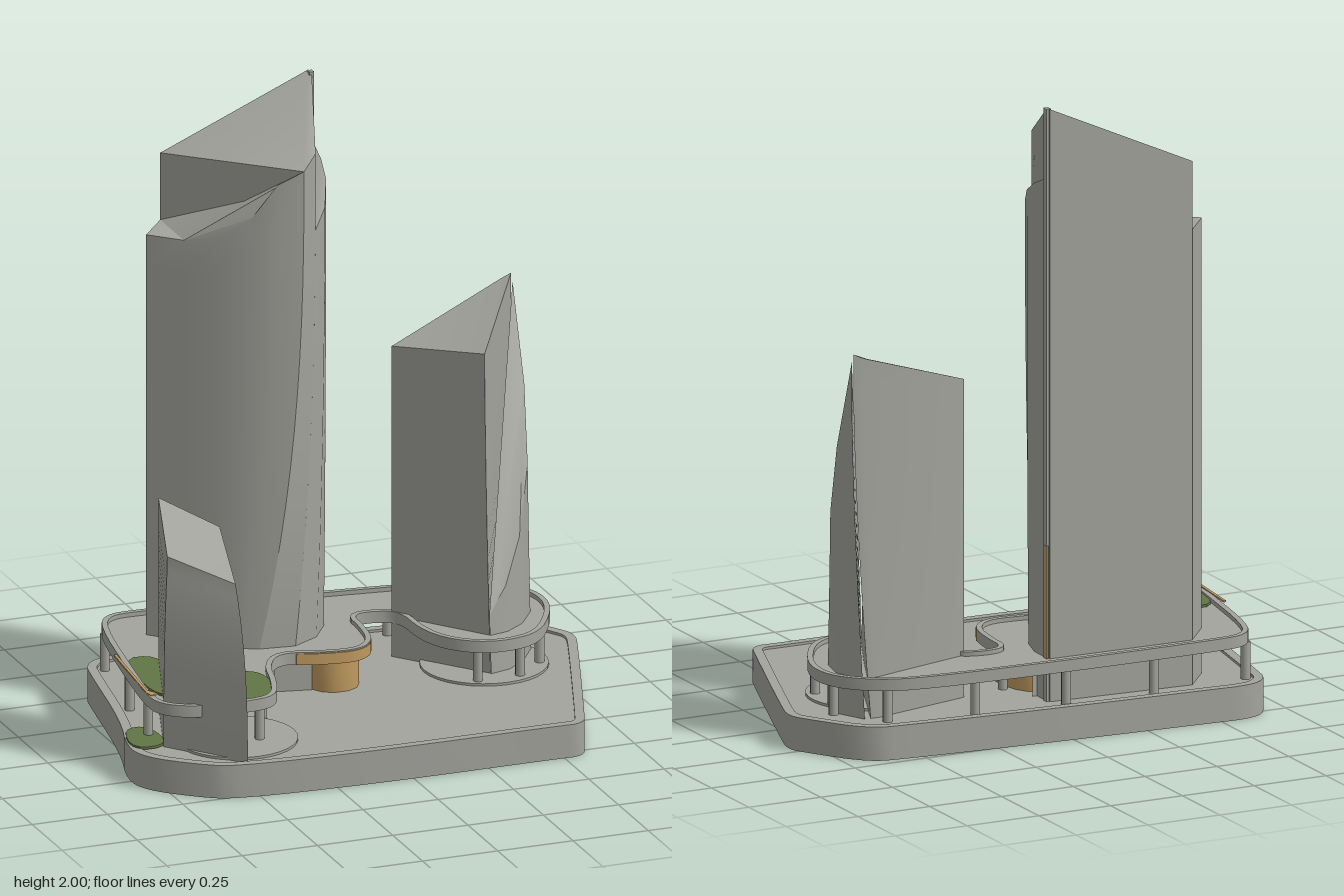
import * as THREE from 'three';
import { toCreasedNormals } from 'three/addons/utils/BufferGeometryUtils.js';

const paint = (name, color) => {
  const m = new THREE.MeshStandardMaterial({ color });
  m.name = name;
  return m;
};

// counter-clockwise plan outline, seen from above
const ccw = (p) => {
  const area = p.reduce((s, a, i) => {
    const b = p[(i + 1) % p.length];
    return s + a[0] * b[1] - b[0] * a[1];
  }, 0);
  return area > 0 ? [...p].reverse() : [...p];
};

// corner-cutting to round an outline
function soften(p, passes = 2) {
  for (let k = 0; k < passes; k++) {
    p = p.flatMap((a, i) => {
      const b = p[(i + 1) % p.length];
      return [0.25, 0.75].map((t) => [a[0] + (b[0] - a[0]) * t, a[1] + (b[1] - a[1]) * t]);
    });
  }
  return p;
}

// outline moved inward by d
function inset(pts, d) {
  const p = ccw(pts), n = p.length;
  return p.map((a, i) => {
    const b = p[(i + 1) % n], c = p[(i + n - 1) % n];
    const tx = b[0] - c[0], tz = b[1] - c[1], l = Math.hypot(tx, tz) || 1;
    return [a[0] + (tz / l) * d, a[1] - (tx / l) * d];
  });
}

// horizontal plate from a plan outline, with an optional hole
function plate(outline, y0, y1, hole) {
  const v = (p) => p.map(([x, z]) => new THREE.Vector2(x, -z));
  const shape = new THREE.Shape(v(outline));
  if (hole) shape.holes.push(new THREE.Path(v(hole)));
  const g = new THREE.ExtrudeGeometry(shape, { depth: y1 - y0, bevelEnabled: false });
  g.rotateX(-Math.PI / 2).translate(0, y0, 0);
  return toCreasedNormals(g, 0.6);
}

// tower volume: each corner is [bottom x, bottom z, top x, top z, top y];
// corners sweep from bottom to top position over height H, paced by ease
function tower(corners, H, ease) {
  const c = ccw(corners), n = c.length, y0 = 0.1, levels = 14, pos = [], idx = [];
  for (let j = 0; j <= levels; j++) {
    for (const [bx, bz, tx, tz, ty] of c) {
      const y = y0 + (ty - y0) * (j / levels);
      const f = ease(Math.min(1, (y - y0) / (H - y0)));
      pos.push(bx + (tx - bx) * f, y, bz + (tz - bz) * f);
    }
  }
  for (let j = 0; j < levels; j++) {
    for (let i = 0; i < n; i++) {
      const a = j * n + i, b = j * n + (i + 1) % n;
      idx.push(a, b, b + n, a, b + n, a + n);
    }
  }
  const top = levels * n;
  const plan = c.map((_, i) => new THREE.Vector2(pos[(top + i) * 3], -pos[(top + i) * 3 + 2]));
  for (const [a, b, d] of THREE.ShapeUtils.triangulateShape(plan, [])) idx.push(top + a, top + b, top + d);
  const g = new THREE.BufferGeometry();
  g.setAttribute('position', new THREE.Float32BufferAttribute(pos, 3));
  g.setIndex(idx);
  return toCreasedNormals(g, 0.5);
}

export function createModel() {
  const grey = paint('concrete grey', 0xa3a49d);
  const green = paint('planting green', 0x617645);
  const tan = paint('lobby tan', 0xc09a5f);
  const root = new THREE.Group();
  const add = (name, geo, mat = grey, parent = root) => {
    const m = new THREE.Mesh(geo, mat);
    m.name = name;
    parent.add(m);
    return m;
  };
  const group = (name) => {
    const g = new THREE.Group();
    g.name = name;
    root.add(g);
    return g;
  };

  // base slab with a low kerb
  const base = soften([[-0.695, -0.41], [-0.675, -0.51], [-0.6, -0.56], [-0.45, -0.55], [0, -0.525],
    [0.55, -0.48], [0.68, -0.46], [0.8, -0.28], [0.835, -0.21], [0.8, -0.1], [0.6, 0.46], [0.565, 0.55],
    [0.47, 0.545], [-0.1, 0.548], [-0.58, 0.52], [-0.68, 0.46], [-0.81, 0.34], [-0.83, 0.23], [-0.76, 0]]);
  add('base', plate(base, 0, 0.1));
  add('baseKerb', plate(ccw(base), 0.1, 0.108, inset(base, 0.03)));

  // raised deck with parapet, falling slightly to one side
  const terrace = group('terrace');
  terrace.rotation.z = -0.013;
  const deck = soften([[-0.76, 0.2], [-0.75, 0.3], [-0.66, 0.36], [-0.5, 0.37], [-0.38, 0.35], [-0.33, 0.22],
    [-0.3, 0.08], [-0.23, -0.01], [-0.1, 0.03], [0.02, 0.04], [0.09, -0.03], [0.11, -0.16], [0.11, -0.26],
    [0.18, -0.27], [0.26, -0.24], [0.26, -0.08], [0.3, 0.03], [0.38, 0.1], [0.48, 0.12], [0.6, 0.08],
    [0.7, -0.08], [0.735, -0.2], [0.715, -0.31], [0.62, -0.41], [0.48, -0.46], [0, -0.505],
    [-0.5, -0.53], [-0.61, -0.52], [-0.665, -0.42], [-0.725, -0.05]]);
  add('deck', plate(deck, 0.216, 0.238), grey, terrace);
  add('deckParapet', plate(ccw(deck), 0.214, 0.252, inset(deck, 0.018)), grey, terrace);

  // columns under the deck
  const columns = group('columns');
  const post = new THREE.CylinderGeometry(0.015, 0.015, 0.12, 12);
  for (const [x, z] of [[-0.73, 0.16], [-0.69, -0.1], [-0.63, -0.46], [-0.3, -0.48], [0, -0.47],
    [0.3, -0.44], [0.58, -0.39], [0.69, -0.24], [0.64, -0.02], [0.54, 0.07], [0.4, 0.07],
    [0.09, -0.22], [-0.26, -0.01], [-0.34, 0.13], [-0.42, 0.31]]) {
    add('column', post, grey, columns).position.set(x, 0.16, z);
  }

  // low round plinths beneath the side towers
  for (const [x, z, r] of [[-0.48, 0.27, 0.19], [0.48, -0.08, 0.2]]) {
    add('plinth', new THREE.CylinderGeometry(r, r, 0.008, 32)).position.set(x, 0.104, z);
  }

  // lobby, its canopy edge and the side terrace trim
  add('lobby', plate(soften([[-0.11, -0.3], [-0.11, -0.01], [0.07, -0.01], [0.07, -0.3]]), 0.1, 0.22), tan);
  add('lobbyCore', plate([[-0.3, -0.34], [-0.24, -0.09], [-0.1, -0.06], [0.05, -0.34]], 0.1, 0.22));
  const edge = deck.filter(([x, z]) => x > -0.19 && x < 0.1 && z > -0.06);
  const canopy = [...edge.map(([x, z]) => [x, z + 0.004]), ...edge.map(([x, z]) => [x, z - 0.008]).reverse()];
  add('canopyEdge', plate(canopy, 0.212, 0.248), tan, terrace);
  add('terraceEdge', plate([[-0.722, -0.16], [-0.755, 0.2], [-0.75, 0.225], [-0.722, 0.215], [-0.744, 0.18],
    [-0.713, -0.16]], 0.25, 0.255), tan, terrace);

  // side entrance of the small tower, with a planter next to it
  add('sideEntrance', new THREE.BoxGeometry(0.03, 0.035, 0.05), tan).position.set(-0.465, 0.123, 0.158);
  add('planter', new THREE.BoxGeometry(0.03, 0.035, 0.05), green).position.set(-0.455, 0.123, 0.108);

  // planting
  const beds = [
    [[[-0.71, -0.14], [-0.59, -0.14], [-0.6, 0.04], [-0.66, 0.2], [-0.73, 0.2]], 0.238, terrace],
    [[[-0.48, 0.09], [-0.36, 0.09], [-0.335, 0.18], [-0.37, 0.33], [-0.54, 0.33]], 0.238, terrace],
    [[[-0.79, 0.09], [-0.7, 0.09], [-0.7, 0.27], [-0.825, 0.27]], 0.106, root],
  ];
  for (const [p, y, parent] of beds) add('planting', plate(soften(p), y, y + 0.008), green, parent);

  // tallest tower: sloped core, lower curved wing and curved front shell
  const tall = group('tallTower');
  const quick = (t) => 1 - (1 - t) ** 2.5;
  const fixed = (x, z, y) => [x, z, x, z, y];
  const apex = [-0.29, -0.11, -0.13, -0.05];
  const fold = [-0.16, -0.085, -0.07, -0.105];
  add('core', tower([fixed(-0.45, -0.45, 1.78), fixed(0.03, -0.42, 2), fixed(0.03, -0.39, 1.99),
    [...fold, 1.843], [...apex, 1.81]], 1.81, quick), grey, tall);
  add('sideWing', tower([fixed(-0.45, -0.45, 1.56), fixed(-0.54, -0.34, 1.56), fixed(-0.45, -0.25, 1.56),
    [-0.4, -0.2, -0.36, -0.16, 1.59], [-0.37, -0.165, -0.28, -0.105, 1.66],
    [-0.34, -0.14, -0.21, -0.07, 1.77], [...apex, 1.81], [-0.3, -0.15, -0.188, -0.13, 1.78],
    [-0.32, -0.22, -0.255, -0.215, 1.68], [-0.36, -0.34, -0.35, -0.335, 1.59]], 1.81, quick), grey, tall);
  add('frontShell', tower([[...fold, 1.59], [-0.06, -0.14, -0.015, -0.165, 1.64],
    [0.005, -0.23, 0.022, -0.25, 1.7], fixed(0.033, -0.32, 1.74), fixed(0.035, -0.39, 1.77)], 1.81, quick),
  grey, tall);
  add('cornerFin', new THREE.BoxGeometry(0.016, 1.9, 0.02), grey, tall).position.set(0.032, 1.05, -0.405);
  add('cornerGlow', new THREE.BoxGeometry(0.006, 0.36, 0.014), tan, tall).position.set(0.038, 0.42, -0.413);

  // middle tower with a bulging shell that sweeps down to the front
  const mid = group('middleTower');
  const gentle = (t) => 1 - (1 - t) ** 1.5;
  add('core', tower([fixed(0.24, -0.25, 1.12), [0.58, -0.335, 0.64, -0.34, 1.26],
    [0.61, -0.335, 0.67, -0.335, 1.275], [0.46, 0.025, 0.45, 0, 1.15]], 1.15, gentle), grey, mid);
  add('sweepShell', tower([[0.46, 0.03, 0.45, 0, 0.3], [0.53, 0.01, 0.5, -0.01, 0.38],
    [0.6, -0.05, 0.57, -0.04, 0.52], [0.66, -0.14, 0.64, -0.13, 0.72],
    [0.678, -0.23, 0.668, -0.22, 0.95], [0.63, -0.335, 0.673, -0.33, 1.25]], 1.15, gentle), grey, mid);

  // small tower whose front edge leans back like a sail
  add('smallTower', tower([fixed(-0.59, -0.11, 0.78), fixed(-0.45, 0.05, 0.72),
    [-0.53, 0.49, -0.535, 0.39, 0.66], [-0.715, 0.25, -0.695, 0.23, 0.715]], 0.68, (t) => t ** 2.6));
  return root;
}
